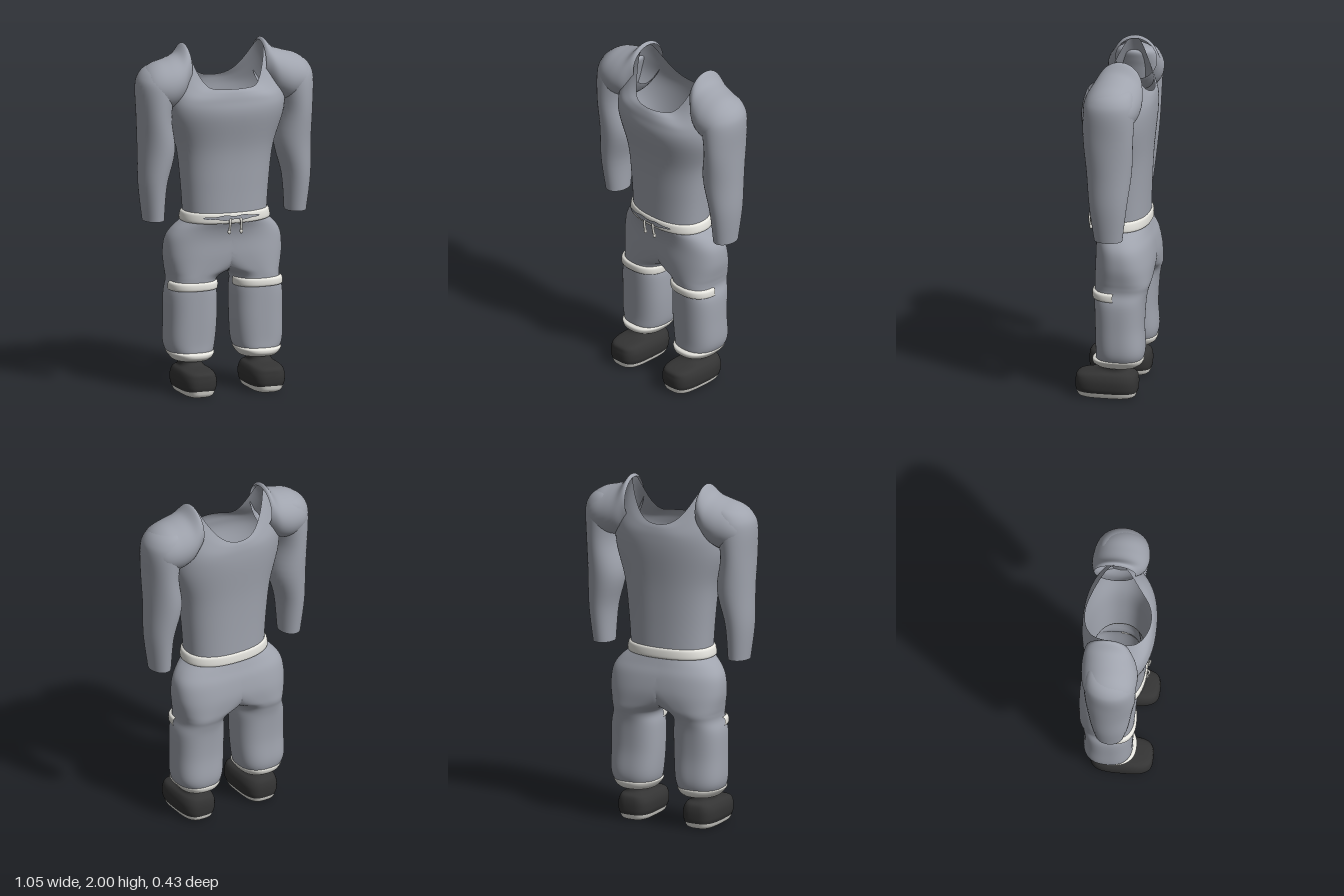
import * as THREE from 'three';

const mat = (name, color) => {
  const m = new THREE.MeshStandardMaterial({ color, side: THREE.DoubleSide });
  m.name = name;
  return m;
};

// Smooth interpolation through the rows of a section table
function sample(rows, t) {
  const i = Math.min(Math.floor(t), rows.length - 2), f = t - i;
  const at = k => rows[Math.max(0, Math.min(rows.length - 1, k))];
  return rows[i].map((b, n) => {
    const c = at(i + 1)[n], m0 = (c - at(i - 1)[n]) / 2, m1 = (at(i + 2)[n] - b) / 2;
    const f2 = f * f, f3 = f2 * f;
    return (2 * f3 - 3 * f2 + 1) * b + (f3 - 2 * f2 + f) * m0 + (3 * f2 - 2 * f3) * c + (f3 - f2) * m1;
  });
}

// Skin over rounded sections, bottom to top: [y, x0, x1, z0, z1, roundness, side lift, side flare]
// half keeps x >= 0 only, front keeps the front arc only
function loft(rows, { side = 1, seg = 48, sub = 5, caps = '', half = false, front = false } = {}) {
  const pos = [], idx = [], n = (rows.length - 1) * sub;
  const full = rows.map(r => [...r, ...[2, 0, 0].slice(r.length - 5)]);
  for (let j = 0; j <= n; j++) {
    const [y, x0, x1, z0, z1, p, lift, flare] = sample(full, j / sub);
    for (let i = 0; i < seg; i++) {
      const a = (i / seg) * Math.PI * 2, s = Math.sin(a), c = Math.cos(a);
      const w = (1 - Math.min(1, Math.abs(c + .16)) ** 2) ** 2.5; // peaks a little behind the sides
      let x = (x0 + x1) / 2 + (x1 - x0) / 2 * Math.sign(s) * Math.abs(s) ** (2 / p);
      x += flare * w * Math.sign(s);
      if (half) x = Math.max(0, x);
      pos.push(x * side, y + lift * w, (z0 + z1) / 2 + (z1 - z0) / 2 * Math.sign(c) * Math.abs(c) ** (2 / p));
    }
  }
  const tri = (a, b, c) => {
    if (half && [a, b, c].every(k => Math.abs(pos[k * 3]) < 1e-6)) return;
    idx.push(...(side > 0 ? [a, b, c] : [a, c, b]));
  };
  for (let j = 0; j < n; j++) for (let i = 0; i < seg; i++) {
    if (front && i >= seg / 4 && i < seg * 3 / 4) continue;
    const k = (i + 1) % seg, a = j * seg + i, b = j * seg + k;
    tri(a, b, a + seg);
    tri(b, b + seg, a + seg);
  }
  // Flat end caps with their own vertices
  for (const end of caps) {
    const row = end === 't' ? n : 0, base = pos.length / 3;
    for (let i = 0; i < seg; i++) pos.push(...pos.slice((row * seg + i) * 3, (row * seg + i) * 3 + 3));
    for (let i = 1; i < seg - 1; i++) {
      if (end === 't') tri(base, base + i, base + i + 1);
      else tri(base, base + i + 1, base + i);
    }
  }
  const g = new THREE.BufferGeometry();
  g.setAttribute('position', new THREE.Float32BufferAttribute(pos, 3));
  g.setIndex(idx);
  g.computeVertexNormals();
  if (half) { // even out the shading where the two halves meet
    const nm = g.attributes.normal;
    for (let i = 0; i < nm.count; i++) if (Math.abs(pos[i * 3]) < 1e-6) {
      const l = Math.hypot(nm.getY(i), nm.getZ(i)) || 1;
      nm.setXYZ(i, 0, nm.getY(i) / l, nm.getZ(i) / l);
    }
  }
  return g;
}

export function createModel() {
  const model = new THREE.Group();
  const cloth = mat('grey cloth', 0xa0a4ae);
  const trim = mat('off-white trim', 0xe6e5df);
  const dark = mat('black shoe', 0x343434);
  const add = (name, geo, m) => {
    const mesh = new THREE.Mesh(geo, m);
    mesh.name = name;
    model.add(mesh);
    return mesh;
  };

  // Shirt body, rising at the sides into the collar
  add('shirtBody', loft([
    [1.00, -.24, .24, -.165, .155, 2.3],
    [1.20, -.255, .255, -.17, .16, 2.3],
    [1.40, -.28, .28, -.18, .172, 2.3],
    [1.60, -.34, .34, -.2, .213, 2.2],
    [1.69, -.335, .335, -.203, .208, 2.2, .07, 0],
    [1.735, -.27, .27, -.198, .197, 2.1, .17, .01],
    [1.757, -.197, .197, -.19, .184, 2, .235, .036],
  ], { seg: 72, sub: 6 }), cloth);

  // Waistband with a gathered fold in front
  add('waistband', loft([
    [.98, -.245, .245, -.168, .155, 2.3],
    [.99, -.262, .262, -.178, .166, 2.3],
    [1.03, -.256, .256, -.176, .165, 2.3],
    [1.042, -.243, .243, -.168, .157, 2.3],
  ]), trim);
  const fold = new THREE.PlaneGeometry(.33, 1, 40, 1);
  const fp = fold.attributes.position;
  for (let i = 0; i < fp.count; i++) { // leaf outline, wrapped round the band
    const x = fp.getX(i), u = x / .165;
    const h = .002 + .014 * Math.sqrt(Math.max(0, 1 - u * u)) * (.75 + .25 * Math.cos(u * 9 + 2.5));
    const bend = (1 - Math.abs((x - .015) / .264) ** 2.3) ** (1 / 2.3);
    fp.setXYZ(i, x - .015, 1.017 + 2 * h * fp.getY(i), .174 * bend + .001);
  }
  fold.computeVertexNormals();
  add('waistFold', fold, cloth);

  for (const s of [1, -1]) {
    const tag = s > 0 ? 'left' : 'right';
    const part = (name, geo, m) => add(tag + name, geo, m);

    // Drawstring
    const cord = new THREE.CatmullRomCurve3([[.028, 1.012, .168], [.033, 1.0, .176], [.034, .965, .172], [.036, .93, .164]]
      .map(([x, y, z]) => new THREE.Vector3(x * s, y, z)));
    part('Drawstring', new THREE.TubeGeometry(cord, 12, .007, 8), trim);
    const tip = part('DrawstringTip', new THREE.SphereGeometry(.01, 12, 8), trim);
    tip.position.set(.036 * s, .935, .165);
    tip.scale.y = 1.4;

    // Sleeve with a rounded shoulder, open at the wrist
    part('Sleeve', loft([
      [1.00, .367, .487, -.09, .07],
      [1.20, .353, .51, -.115, .098],
      [1.40, .305, .513, -.14, .118],
      [1.60, .33, .518, -.15, .135],
      [1.76, .3, .525, -.158, .135],
      [1.83, .28, .507, -.15, .115],
      [1.875, .27, .46, -.125, .08],
      [1.893, .29, .39, -.075, .03],
      [1.896, .33, .34, -.025, -.015],
    ], { side: s, seg: 36, caps: 't' }), cloth);
    part('SleeveLining', loft([
      [1.0, .37, .484, -.087, .067],
      [1.1, .366, .493, -.098, .079],
    ], { side: s, seg: 36, sub: 1 }), trim);

    // Shoulder yoke, skinned sideways from the collar to the sleeve: [x, -top, -bottom, back, front]
    const yoke = loft([
      [.222, -1.98, -1.74, -.16, .075],
      [.24, -1.995, -1.71, -.168, .09],
      [.285, -1.945, -1.66, -.178, .125],
      [.35, -1.92, -1.63, -.178, .142],
      [.42, -1.9, -1.63, -.165, .135],
      [.47, -1.868, -1.65, -.138, .11],
      [.505, -1.82, -1.69, -.09, .06],
    ], { side: s, seg: 40 });
    yoke.rotateZ(-s * Math.PI / 2);
    part('ShoulderYoke', yoke, cloth);

    // One half of the trousers, from ankle to waist
    part('Trouser', loft([
      [.20, .095, .305, -.145, .09],
      [.23, .075, .328, -.165, .1, 2.4],
      [.29, .06, .346, -.176, .1, 2.5],
      [.42, .05, .346, -.17, .104, 2.5],
      [.56, .05, .343, -.178, .108, 2.5],
      [.63, .058, .325, -.19, .108, 2.5],
      [.67, .03, .326, -.202, .11, 2.5],
      [.71, -.06, .333, -.207, .113, 2.6],
      [.79, -.2, .345, -.21, .118, 2.5],
      [.88, -.27, .338, -.198, .12, 2.4],
      [.94, -.28, .303, -.18, .132, 2.3],
      [.99, -.245, .245, -.165, .153, 2.3],
    ], { side: s, seg: 80, half: true }), cloth);

    // Knee band across the front
    part('KneeBand', loft([
      [.592, .06, .33, -.14, .106, 2.5],
      [.6, .052, .338, -.15, .12, 2.5],
      [.632, .052, .336, -.15, .12, 2.5],
      [.642, .062, .322, -.14, .106, 2.5],
    ], { side: s, sub: 4, front: true }), trim);

    // Ankle cuff
    part('AnkleCuff', loft([
      [.188, .1, .3, -.14, .095, 2.3],
      [.205, .085, .315, -.162, .118, 2.4],
      [.228, .07, .332, -.17, .12, 2.4],
      [.238, .072, .33, -.166, .1, 2.4],
    ], { side: s, sub: 4 }), trim);

    // Shoe and sole
    part('Shoe', loft([
      [.035, .108, .302, -.134, .21, 3.2],
      [.06, .1, .31, -.138, .216, 3.2],
      [.105, .1, .31, -.138, .215, 3.2],
      [.14, .115, .297, -.128, .198, 3],
      [.158, .138, .276, -.1, .1, 2.4],
      [.18, .142, .272, -.09, .07, 2.2],
      [.21, .135, .278, -.095, .075, 2],
    ], { side: s }), dark);
    part('Sole', loft([
      [0, .135, .275, -.105, .185, 3.2],
      [.012, .118, .292, -.125, .203, 3.2],
      [.042, .106, .304, -.135, .212, 3.2],
    ], { side: s, sub: 3, caps: 'tb' }), trim);
  }
  return model;
}
